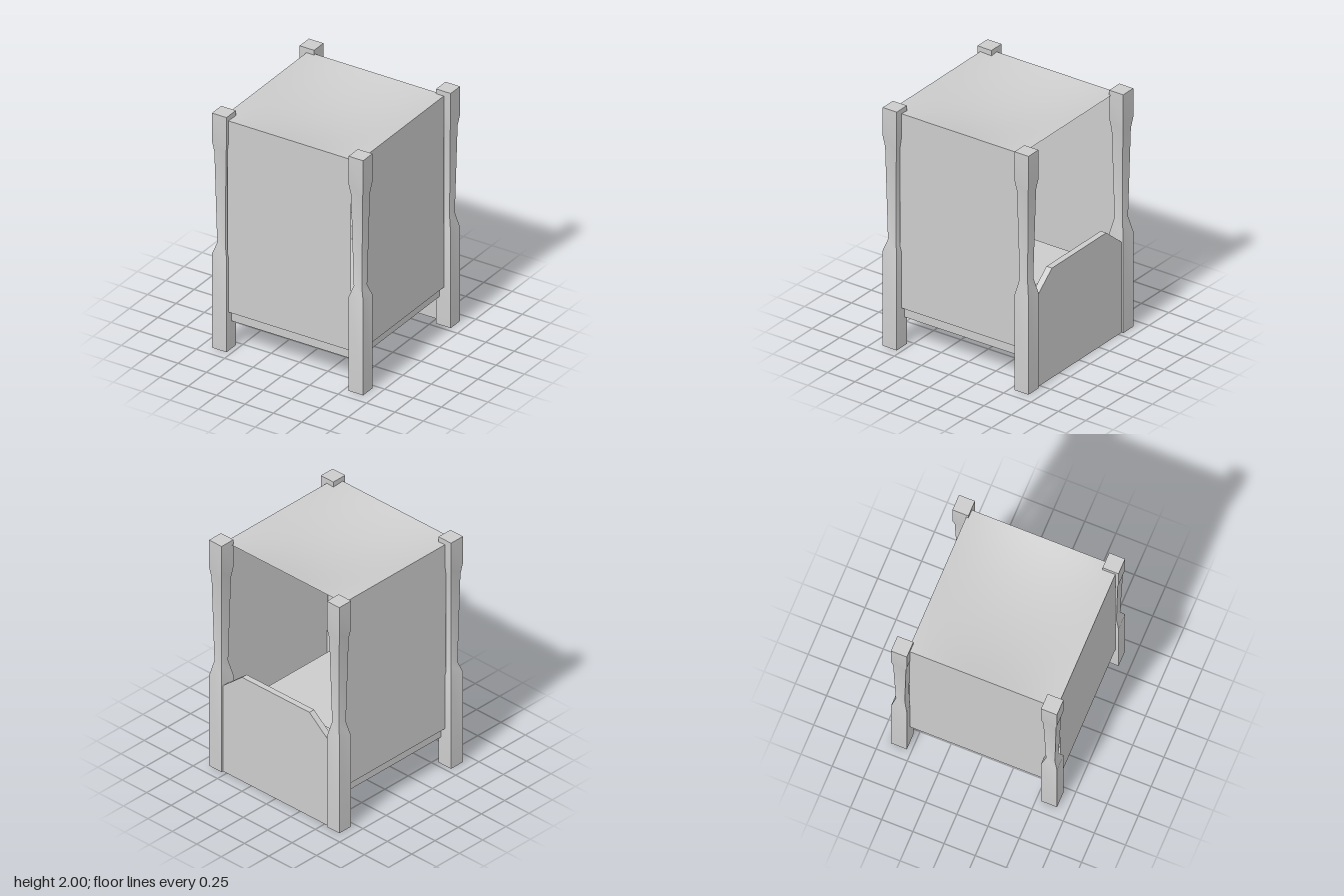
import * as THREE from 'three';
import { toCreasedNormals } from 'three/addons/utils/BufferGeometryUtils.js';

const grey = new THREE.MeshStandardMaterial({ color: 0xcccccc });
const cloth = new THREE.MeshStandardMaterial({ color: 0xcccccc, side: THREE.DoubleSide });

export function createModel() {
  const model = new THREE.Group();

  function add(name, geometry, x = 0, y = 0, z = 0, material = grey) {
    const mesh = new THREE.Mesh(geometry, material);
    mesh.name = name;
    mesh.position.set(x, y, z);
    model.add(mesh);
    return mesh;
  }

  // Square post with a narrow waist: four-sided lathe, sharp edges, soft along its length
  function postGeometry(waistY) {
    const profile = [
      [0, 0], [0.064, 0], [0.064, 0.8], [0.036, waistY],
      [0.051, 1.67], [0.064, 1.76], [0.064, 2], [0, 2],
    ].map(([half, y]) => new THREE.Vector2(half * Math.SQRT2, y));
    return toCreasedNormals(new THREE.LatheGeometry(profile, 4, Math.PI / 4), 0.8);
  }
  for (const x of [-0.602, 0.602]) {
    add('frontPost', postGeometry(0.89), x, 0, 0.602);
    add('backPost', postGeometry(0.93), x, 0, -0.602);
  }

  // Headboard with cut upper corners, reaching the floor
  const board = new THREE.Shape([
    [-0.55, 0], [0.55, 0], [0.55, 0.75], [0.345, 0.92], [-0.345, 0.92], [-0.55, 0.75],
  ].map(([x, y]) => new THREE.Vector2(x, y)));
  add('headboard', new THREE.ExtrudeGeometry(board, { depth: 0.05, bevelEnabled: false }), 0, 0, -0.65);

  // Bed base between the posts
  add('bedBase', new THREE.BoxGeometry(1.13, 0.248, 1.2), 0, 0.361, 0);

  // Mattress top with sloping sides
  const mattress = new THREE.BoxGeometry(1.1, 0.08, 1.17).toNonIndexed();
  const p = mattress.attributes.position;
  for (let i = 0; i < p.count; i++) {
    if (p.getY(i) > 0) {
      p.setX(i, Math.sign(p.getX(i)) * 0.493);
      if (p.getZ(i) > 0) p.setZ(i, 0.535);
    }
  }
  mattress.computeVertexNormals();
  add('mattress', mattress, 0, 0.525, -0.015);

  // Pillow against the headboard
  add('pillow', new THREE.BoxGeometry(0.765, 0.11, 0.17), 0.007, 0.62, -0.515);

  // Canopy roof sagging gently in the middle
  const roof = new THREE.PlaneGeometry(1.21, 1.195, 16, 16);
  roof.rotateX(-Math.PI / 2);
  const r = roof.attributes.position;
  for (let i = 0; i < r.count; i++) {
    const u = r.getX(i) / 0.605;
    const v = r.getZ(i) / 0.5975;
    r.setY(i, -0.07 * (1 - u * u) * (1 - v * v));
  }
  roof.computeVertexNormals();
  add('canopyRoof', roof, 0, 1.96, 0.0425, cloth);

  // Hanging curtains on the front and both sides
  add('frontCurtain', new THREE.PlaneGeometry(1.09, 1.63), 0, 1.145, 0.64, cloth);
  for (const side of [-1, 1]) {
    const curtain = add('sideCurtain', new THREE.PlaneGeometry(1.09, 1.63), side * 0.605, 1.145, 0.005, cloth);
    curtain.rotation.y = side * Math.PI / 2;
  }

  return model;
}
